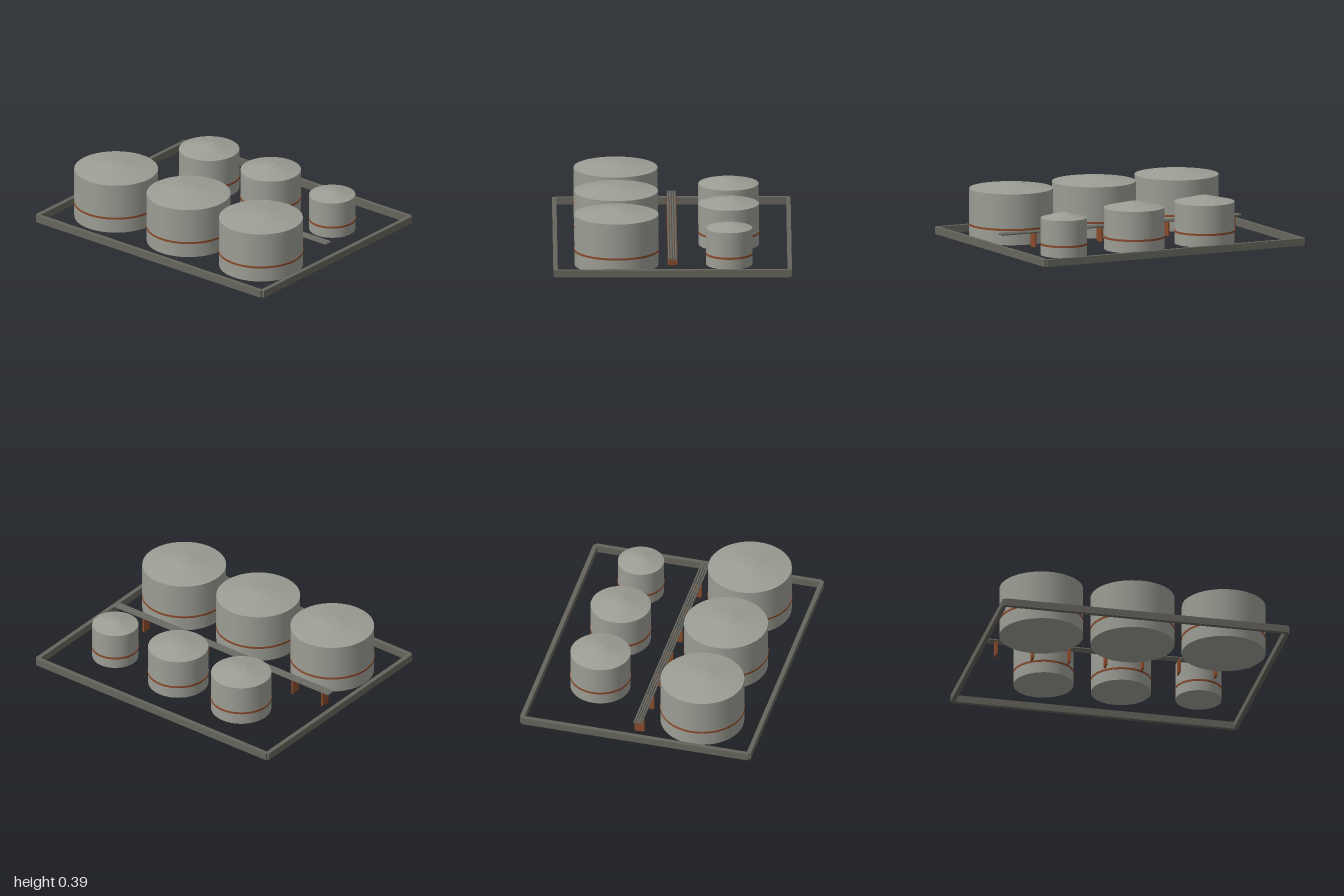
import * as THREE from 'three';

const mat = (name, color) => {
  const m = new THREE.MeshStandardMaterial({ color });
  m.name = name;
  return m;
};

export function createModel() {
  const steel = mat('tank grey', 0x9c9d94);
  const concrete = mat('wall grey', 0x66655c);
  const pipeGrey = mat('pipe grey', 0x6a6a64);
  const rust = mat('rust brown', 0x8a4a2c);
  const root = new THREE.Group();
  root.name = 'tankFarm';

  const add = (parent, name, geometry, material, x = 0, y = 0, z = 0) => {
    const mesh = new THREE.Mesh(geometry, material);
    mesh.name = name;
    mesh.position.set(x, y, z);
    parent.add(mesh);
    return mesh;
  };

  // Low containment wall, with notched corners
  for (const s of [-1, 1]) {
    add(root, s > 0 ? 'frontWall' : 'backWall',
      new THREE.BoxGeometry(1.97, 0.05, 0.03), concrete, 0, 0.025, s * 0.795);
    add(root, s > 0 ? 'leftWall' : 'rightWall',
      new THREE.BoxGeometry(0.03, 0.05, 1.59), concrete, s * 0.985, 0.025, 0);
  }

  // Storage tank: cylindrical shell, shallow cone roof with a flat centre, painted band
  function addTank(name, x, z, radius, height, rise) {
    const tank = new THREE.Group();
    tank.name = name;
    tank.position.set(x, 0, z);
    add(tank, 'shell', new THREE.CylinderGeometry(radius, radius, height, 48), steel, 0, height / 2);
    add(tank, 'roof', new THREE.CylinderGeometry(radius * 0.17, radius, rise, 48),
      steel, 0, height + rise / 2);
    const r = radius + 0.003;
    add(tank, 'band', new THREE.CylinderGeometry(r, r, 0.014, 48), rust, 0, height * 0.3);
    root.add(tank);
  }

  for (const x of [-0.635, 0, 0.635]) addTank('largeTank', x, 0.38, 0.285, 0.35, 0.04);
  for (const x of [-0.445, 0.095]) addTank('mediumTank', x, -0.385, 0.205, 0.285, 0.04);
  addTank('smallTank', 0.635, -0.385, 0.157, 0.255, 0.035);

  // Pipe rack running between the two rows
  const rack = new THREE.Group();
  rack.name = 'pipeRack';
  root.add(rack);
  for (let i = 0; i < 4; i++) {
    const pipe = add(rack, 'pipe', new THREE.CylinderGeometry(0.007, 0.007, 1.835, 10),
      pipeGrey, 0, 0.105, (i - 1.5) * 0.016);
    pipe.rotation.z = Math.PI / 2;
  }
  for (let i = 0; i < 7; i++) {
    add(rack, 'pipeSupport', new THREE.BoxGeometry(0.012, 0.1, 0.068),
      rust, -0.865 + i * 0.255, 0.05, 0);
  }
  return root;
}
